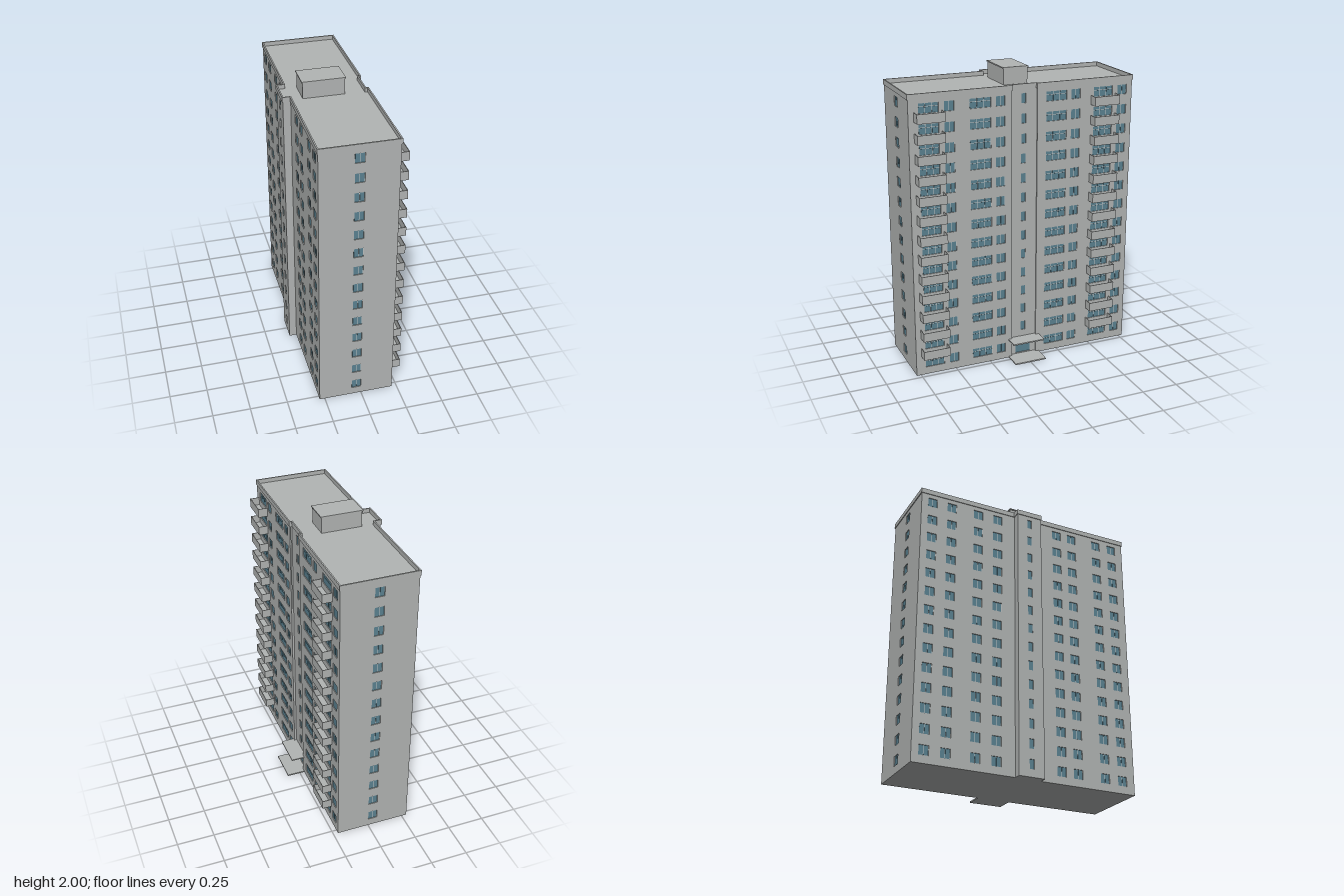
import * as THREE from 'three';
import { mergeGeometries } from 'three/addons/utils/BufferGeometryUtils.js';

const FLOORS = 14, STEP = 0.1335, SILL = 0.052, WIN_H = 0.064;
const WALL_TOP = 1.885, SKIN = 0.008;

export function createModel() {
  const model = new THREE.Group();
  model.name = 'apartmentBlock';
  const material = (name, color) => {
    const m = new THREE.MeshStandardMaterial({ color });
    m.name = name;
    return m;
  };
  const concrete = material('concrete', 0xb2b5b4);
  const glass = material('window glass', 0x5b8291);
  const frame = material('window frame', 0xc9cdcd);

  const add = (name, geometry, mat, parent = model) => {
    const mesh = new THREE.Mesh(geometry, mat);
    mesh.name = name;
    parent.add(mesh);
    return mesh;
  };
  // box given by its limits
  const box = (x0, x1, y0, y1, z0, z1) =>
    new THREE.BoxGeometry(x1 - x0, y1 - y0, z1 - z0)
      .translate((x0 + x1) / 2, (y0 + y1) / 2, (z0 + z1) / 2);

  // plan of the building, grown outwards by d: stair bay at -x, recess at +x
  const plan = (d) => {
    const R = 0.217 + d, N = 0.2 + d, L = -0.285 - d, B = -0.335 - d;
    const Z = 0.78 + d, n = 0.09 - d, b = 0.09 + d;
    return [[R, -Z], [R, -n], [N, -n], [N, n], [R, n], [R, Z],
      [L, Z], [L, b], [B, b], [B, -b], [L, -b], [L, -Z]]
      .map(([x, z]) => new THREE.Vector2(x, z));
  };
  const extrudePlan = (shape, y0, y1) =>
    new THREE.ExtrudeGeometry(shape, { depth: y1 - y0, bevelEnabled: false })
      .rotateX(-Math.PI / 2).translate(0, y0, 0);

  const rect = (Type, u0, u1, y0, y1) => {
    const p = new Type();
    p.moveTo(u0, y0);
    p.lineTo(u1, y0);
    p.lineTo(u1, y1);
    p.lineTo(u0, y1);
    p.closePath();
    return p;
  };

  // wall skin with openings; each opening is {u0, u1, y0, y1, panes, transom}
  function facade(name, u0, u1, openings, position, turn) {
    const group = new THREE.Group();
    group.name = name;
    const shape = rect(THREE.Shape, u0, u1, 0, WALL_TOP);
    const frames = [], panes = [];
    for (const o of openings) {
      shape.holes.push(rect(THREE.Path, o.u0, o.u1, o.y0, o.y1));
      frames.push(box(o.u0, o.u1, o.y0, o.y1, -SKIN - 0.002, -SKIN + 0.001));
      const w = (o.u1 - o.u0) / o.panes, g = o.panes > 1 ? 0.002 : 0;
      const split = o.y0 + (o.y1 - o.y0) * 0.66;
      const rows = o.transom ? [[o.y0, split - 0.002], [split + 0.002, o.y1]] : [[o.y0, o.y1]];
      for (let i = 0; i < o.panes; i++) {
        for (const [y0, y1] of rows) {
          panes.push(box(o.u0 + i * w + g, o.u0 + (i + 1) * w - g, y0, y1, -SKIN, -SKIN + 0.003));
        }
      }
    }
    add('wallSkin', new THREE.ExtrudeGeometry(shape, { depth: SKIN, bevelEnabled: false })
      .translate(0, 0, -SKIN), concrete, group);
    if (openings.length) {
      add('windowFrames', mergeGeometries(frames), frame, group);
      add('windowPanes', mergeGeometries(panes), glass, group);
    }
    group.position.set(...position);
    group.rotation.y = turn;
    model.add(group);
  }

  // repeats a row of windows [u0, u1, panes] on every floor
  const windows = (row, firstFloor = 0) => {
    const list = [];
    for (let f = firstFloor; f < FLOORS; f++) {
      for (const [u0, u1, panes] of row) {
        const y0 = SILL + f * STEP;
        list.push({ u0, u1, y0, y1: y0 + WIN_H, panes, transom: panes === 3 });
      }
    }
    return list;
  };

  // solid core and roof
  add('buildingCore', extrudePlan(new THREE.Shape(plan(-SKIN)), 0, WALL_TOP - 0.002), concrete);
  add('roofDeck', extrudePlan(new THREE.Shape(plan(0)), WALL_TOP - 0.005, WALL_TOP), concrete);
  const rim = new THREE.Shape(plan(0.005));
  rim.holes.push(new THREE.Path(plan(-0.004)));
  add('roofParapet', extrudePlan(rim, 1.88, 1.914), concrete);

  // balcony side (+x), u = -z
  const right = Math.PI / 2, left = -Math.PI / 2;
  facade('balconyWallFront', -0.78, -0.09, windows([
    [-0.714, -0.582, 3], [-0.545, -0.48, 2], [-0.376, -0.233, 3], [-0.2, -0.137, 2],
  ]), [0.217, 0, 0], right);
  facade('balconyWallBack', 0.09, 0.78, windows([
    [0.153, 0.3, 3], [0.333, 0.397, 2], [0.497, 0.635, 3], [0.672, 0.74, 2],
  ]), [0.217, 0, 0], right);
  facade('entranceWall', -0.098, 0.098, [
    { u0: -0.053, u1: 0.053, y0: 0.015, y1: 0.125, panes: 1 },
    ...windows([[-0.016, 0.016, 1]], 1),
  ], [0.2, 0, 0], right);

  // stair side (-x), u = z
  const pair = (u) => [u - 0.033, u + 0.033, 2];
  facade('rearWallBack', -0.78, -0.09, windows([-0.7, -0.56, -0.365, -0.22].map(pair)),
    [-0.285, 0, 0], left);
  facade('rearWallFront', 0.09, 0.78, windows([0.24, 0.36, 0.56, 0.69].map(pair)),
    [-0.285, 0, 0], left);
  facade('stairBayWall', -0.09, 0.09, windows([[-0.016, 0.016, 1]]), [-0.335, 0, 0], left);
  facade('stairBayFrontCheek', -0.327, -0.275, [], [0, 0, 0.09], 0);
  facade('stairBayBackCheek', 0.275, 0.327, [], [0, 0, -0.09], Math.PI);

  // end walls
  facade('frontEndWall', -0.277, 0.209, windows([[-0.064, -0.001, 2]]), [0, 0, 0.78], 0);
  facade('backEndWall', -0.209, 0.277, windows([[0.001, 0.064, 2]]), [0, 0, -0.78], Math.PI);

  // balconies: slab with three thin parapet panels
  const t = 0.004;
  for (const [z0, z1] of [[0.56, 0.744], [-0.658, -0.476]]) {
    for (let f = 1; f < FLOORS; f++) {
      const y = f * STEP + 0.002, x0 = 0.215, x1 = 0.281, top = y + 0.061;
      add('balcony', mergeGeometries([
        box(x0, x1, y, y + 0.008, z0, z1),
        box(x1 - t, x1, y + 0.008, top, z0, z1),
        box(x0, x1 - t, y + 0.008, top, z0, z0 + t),
        box(x0, x1 - t, y + 0.008, top, z1 - t, z1),
      ]), concrete);
    }
  }

  // entrance porch
  add('entranceCanopy', box(0.195, 0.308, 0.13, 0.139, -0.113, 0.113), concrete);
  add('entranceStep', box(0.195, 0.341, 0, 0.009, -0.113, 0.113), concrete);

  // rooftop lift room
  add('liftRoom', box(-0.206, 0.066, WALL_TOP - 0.003, 1.994, -0.084, 0.084), concrete);
  add('liftRoomRoof', box(-0.212, 0.072, 1.992, 2, -0.089, 0.089), concrete);

  return model;
}
